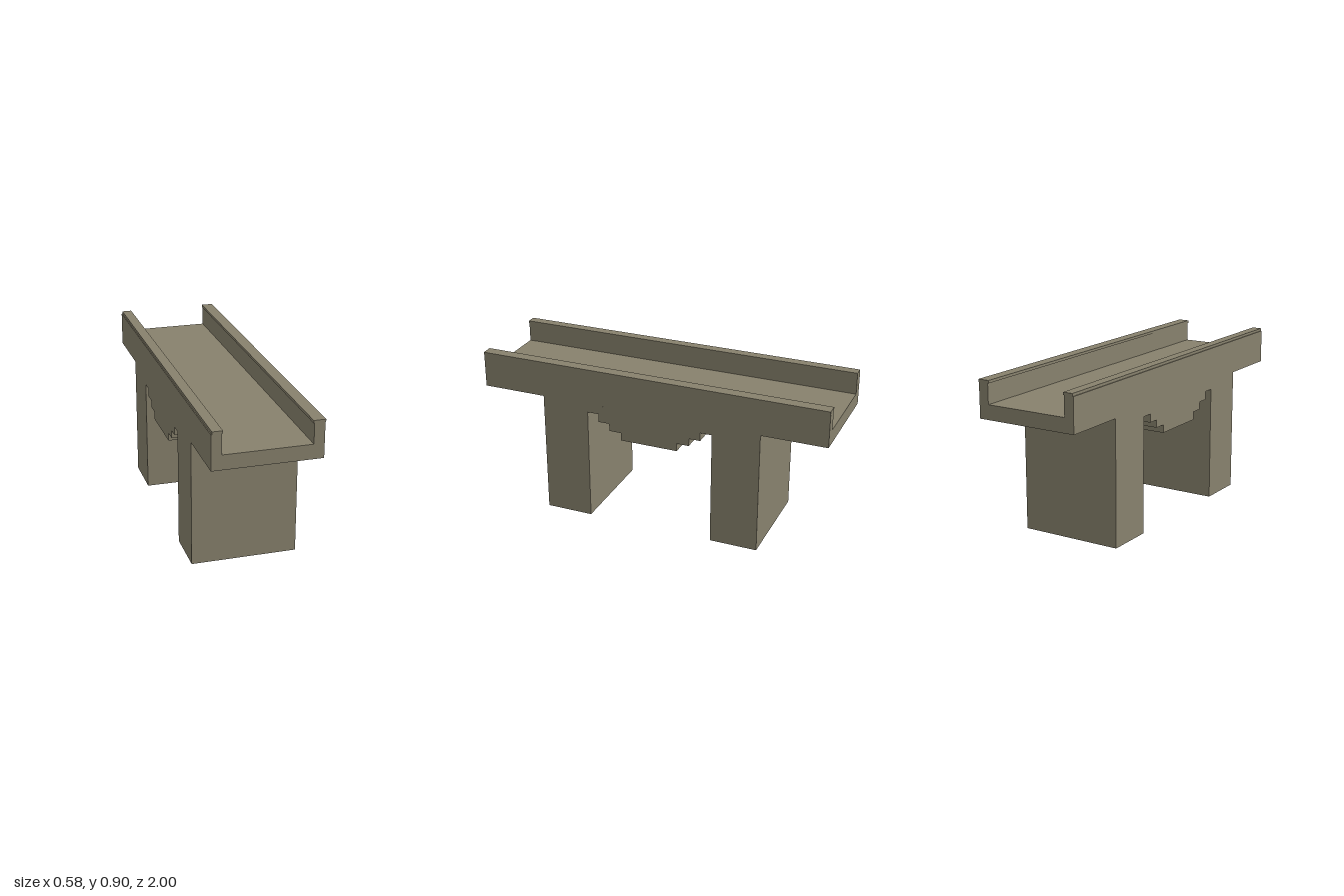
import * as THREE from 'three';

export function createModel() {
  const model = new THREE.Group();
  model.name = 'bridge';
  const stone = new THREE.MeshStandardMaterial({ color: 0x87816d });
  stone.name = 'stone';

  const left = -0.29, right = 0.288;
  const deckBottom = 0.7, deckTop = 0.78, capBottom = 0.89, capTop = 0.905;

  const add = (name, geometry) => {
    const mesh = new THREE.Mesh(geometry, stone);
    mesh.name = name;
    model.add(mesh);
    return mesh;
  };
  const extrude = (points, depth) => new THREE.ExtrudeGeometry(
    new THREE.Shape(points.map(([x, y]) => new THREE.Vector2(x, y))),
    { depth, bevelEnabled: false },
  );

  // Deck slab with parapets and offset coping, swept along the span
  const deck = extrude([
    [left, deckBottom], [right, deckBottom], [right, capBottom],
    [0.291, capBottom], [0.291, capTop], [0.227, capTop], [0.227, capBottom],
    [0.232, capBottom], [0.232, deckTop], [-0.235, deckTop],
    [-0.235, capBottom], [-0.23, capBottom], [-0.23, capTop],
    [-0.285, capTop], [-0.285, capBottom], [left, capBottom],
  ], 2);
  deck.translate(0, 0, -1);
  add('deckAndParapets', deck);

  // Two rectangular piers
  for (const [name, side] of [['frontPier', 1], ['backPier', -1]]) {
    const pier = add(name, new THREE.BoxGeometry(right - left, deckBottom, 0.27));
    pier.position.set((left + right) / 2, deckBottom / 2, side * 0.5);
  }

  // Stepped block hanging between the piers, mirrored about mid-span
  const steps = [
    [0.365, deckBottom], [0.365, 0.65], [0.3, 0.65], [0.3, 0.603],
    [0.235, 0.603], [0.235, 0.56], [0.165, 0.56], [0.165, 0.515],
  ];
  const mirrored = steps.map(([z, y]) => [-z, y]).reverse();
  const block = extrude([...steps, ...mirrored], right - left);
  block.rotateY(-Math.PI / 2);
  block.translate(right, 0, 0);
  add('steppedUnderside', block);

  return model;
}
